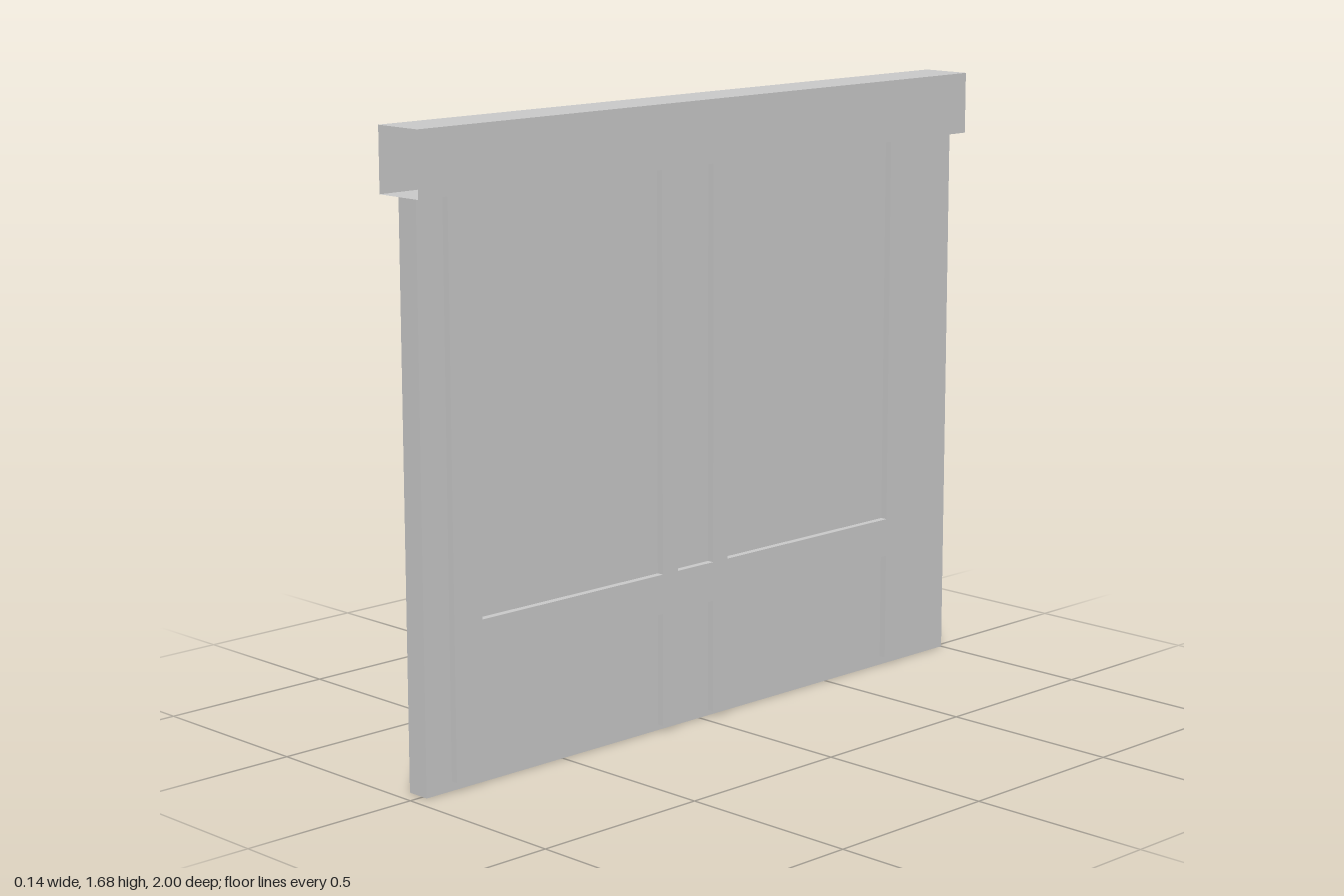
import * as THREE from 'three';

const SLAB_TOP = 1.512;
const BEAM_TOP = 1.68;

export function createModel() {
  const group = new THREE.Group();
  const grey = new THREE.MeshStandardMaterial({ color: 0xcccccc, flatShading: true });
  const greyThin = new THREE.MeshStandardMaterial({ color: 0xcccccc, flatShading: true, side: THREE.DoubleSide });

  const add = (name, geometry, material) => {
    const mesh = new THREE.Mesh(geometry, material);
    mesh.name = name;
    group.add(mesh);
  };

  // Flat wall slab, set back from the beam at one end
  const slab = new THREE.BoxGeometry(0.065, SLAB_TOP, 1.96);
  slab.translate(-0.017, SLAB_TOP / 2, -0.02);
  add('wallPanel', slab, grey);

  // Hollow top beam: a box without its two end faces
  const beam = new THREE.BoxGeometry(0.144, BEAM_TOP - SLAB_TOP, 2);
  beam.setIndex(Array.from(beam.index.array).slice(0, 24));
  beam.clearGroups();
  beam.translate(0, (BEAM_TOP + SLAB_TOP) / 2, 0);
  add('topBeam', beam, greyThin);

  // Raised frame: posts [start, end, foot] along -z, joined by one rail
  const posts = [
    [-0.877, -0.785, 0.025],
    [-0.155, -0.1, 0.015],
    [0.033, 0.088, 0.015],
    [0.73, 0.82, 0.025],
  ];
  const railBottom = 0.325, railTop = 0.432, postTop = 1.54;
  const lower = [], upper = [];
  posts.forEach(([a, b, foot], i) => {
    const first = i === 0, last = i === posts.length - 1;
    if (!first) {
      lower.push([a, railBottom]);
      upper.push([a, railTop]);
    }
    lower.push([a, foot], [b, foot]);
    upper.push([a, postTop], [b, postTop]);
    if (!last) {
      lower.push([b, railBottom]);
      upper.push([b, railTop]);
    }
  });
  const outline = [...lower, ...upper.reverse()].map(([u, v]) => new THREE.Vector2(u, v));
  const frame = new THREE.ExtrudeGeometry(new THREE.Shape(outline), { depth: 0.025, bevelEnabled: false });
  frame.rotateY(Math.PI / 2);
  frame.translate(0.01, 0, 0);
  add('raisedFrame', frame, grey);

  return group;
}
